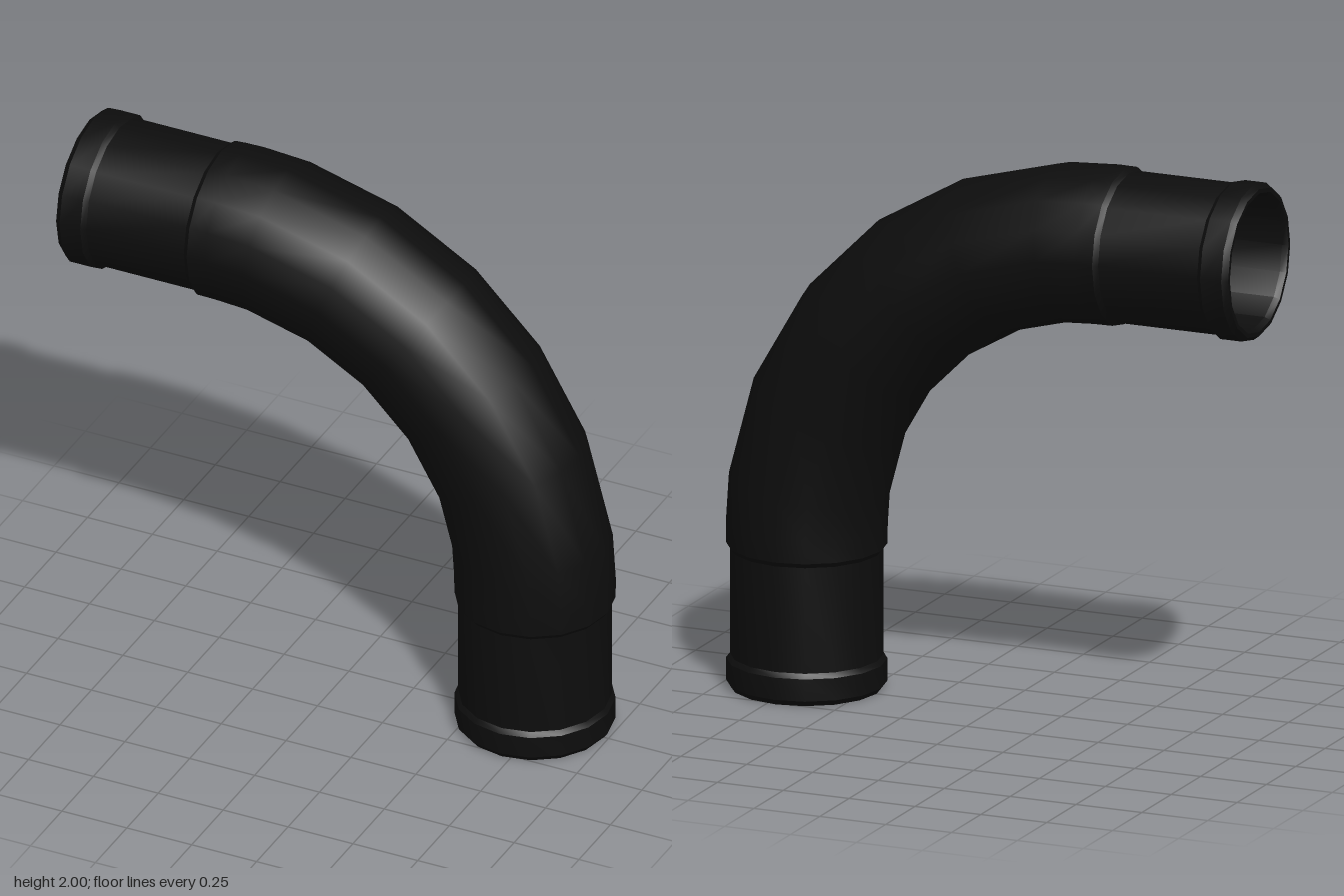
import * as THREE from 'three';
import { toCreasedNormals } from 'three/addons/utils/BufferGeometryUtils.js';

const SIDES = 16;
const BEND_X = -0.42, BEND_Y = 0.585, BEND_R = 1.137; // centre and radius of the elbow
const BORE = 0.24;

// Sweeps round sections along the elbow; a station is [angle, shift along the pipe, radius].
function sweep(stations) {
  const positions = [], index = [];
  for (const [angle, shift, r] of stations) {
    const c = Math.cos(angle), s = Math.sin(angle);
    for (let i = 0; i < SIDES; i++) {
      const a = (i / SIDES) * Math.PI * 2;
      const d = BEND_R + r * Math.sin(a);
      positions.push(BEND_X + d * c - shift * s, BEND_Y + d * s + shift * c, r * Math.cos(a));
    }
  }
  for (let j = 0; j < stations.length - 1; j++) {
    for (let i = 0; i < SIDES; i++) {
      const k = (i + 1) % SIDES;
      const a = j * SIDES + i, b = j * SIDES + k;
      index.push(a, b, a + SIDES, b, b + SIDES, a + SIDES);
    }
  }
  const geometry = new THREE.BufferGeometry();
  geometry.setAttribute('position', new THREE.Float32BufferAttribute(positions, 3));
  geometry.setIndex(index);
  return toCreasedNormals(geometry, Math.PI / 6);
}

export function createModel() {
  const group = new THREE.Group();
  const black = new THREE.MeshStandardMaterial({ color: 0x0d0d0d });
  black.name = 'blackRubber';

  const add = (geometry, name) => {
    const mesh = new THREE.Mesh(geometry, black);
    mesh.name = name;
    group.add(mesh);
    return mesh;
  };

  // Elbow rings: both ends plus six evenly spaced rings
  const angles = [0];
  for (let i = 0; i < 6; i++) angles.push(THREE.MathUtils.degToRad(7.5 + 15 * i));
  angles.push(Math.PI / 2);

  // Outer elbow with bevelled edges where it meets the cuffs
  const outer = [
    [0, -0.09, 0.265], [0, -0.07, 0.28],
    ...angles.map((a) => [a, 0, 0.281]),
    [Math.PI / 2, 0.07, 0.28], [Math.PI / 2, 0.09, 0.265],
  ];
  add(sweep(outer), 'elbow');

  // Inner wall of the elbow, facing inwards
  const inner = [[0, -0.09, BORE], ...angles.map((a) => [a, 0, BORE]), [Math.PI / 2, 0.09, BORE]];
  add(sweep(inner.reverse()), 'elbowBore');

  // Straight cuff with a raised lip, its bore and its rim
  const profile = [
    [BORE, 0.5], [BORE, 0.02], [0.25, 0], [0.265, 0], [0.28, 0.02],
    [0.28, 0.1], [0.267, 0.117], [0.267, 0.51],
  ].map(([x, y]) => new THREE.Vector2(x, y));
  const cuff = toCreasedNormals(new THREE.LatheGeometry(profile, SIDES), Math.PI / 6);

  add(cuff, 'lowerCuff').position.set(BEND_X + BEND_R, 0, 0);
  const upper = add(cuff, 'upperCuff');
  upper.position.set(-1, BEND_Y + BEND_R, 0);
  upper.rotation.z = -Math.PI / 2;

  return group;
}
